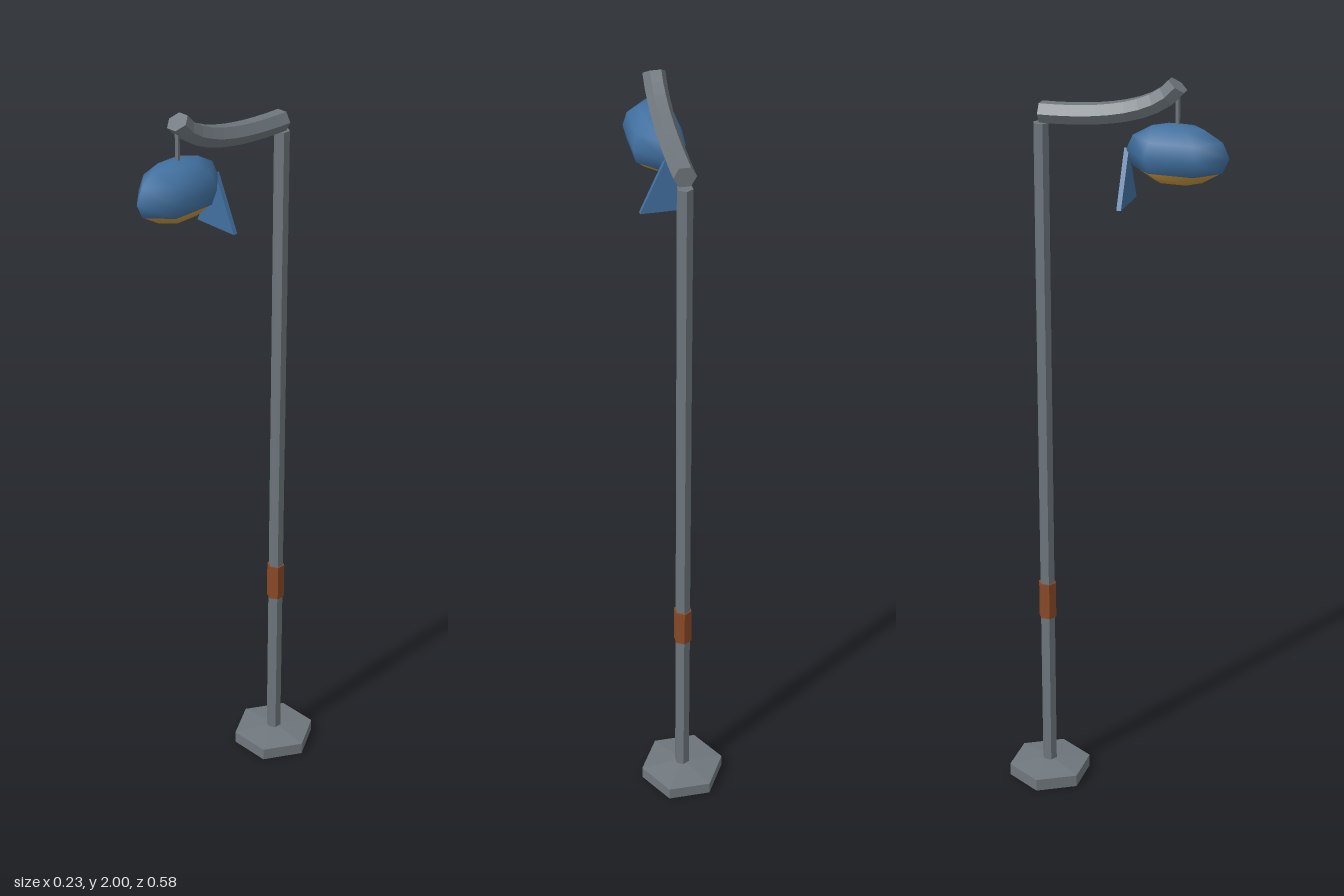
import * as THREE from 'three';

const mat = (name, color, options = {}) => {
  const m = new THREE.MeshStandardMaterial({ color, ...options });
  m.name = name;
  return m;
};

export function createModel() {
  const lamp = new THREE.Group();
  lamp.name = 'fishStreetLamp';

  const metal = mat('greyMetal', 0x6f777d, { flatShading: true });
  const rust = mat('rustBrown', 0x8a4a28, { flatShading: true });
  const blue = mat('fishBlue', 0x41709f, { side: THREE.DoubleSide });
  const glow = mat('lampYellow', 0xc8983f, { side: THREE.DoubleSide });

  const add = (name, geometry, material, x = 0, y = 0, z = 0) => {
    const mesh = new THREE.Mesh(geometry, material);
    mesh.name = name;
    mesh.position.set(x, y, z);
    lamp.add(mesh);
    return mesh;
  };

  // Six-sided upright part between two heights
  const poleZ = -0.193;
  const hex = (name, rTop, rBottom, y0, y1, material, z = poleZ) =>
    add(name, new THREE.CylinderGeometry(rTop, rBottom, y1 - y0, 6), material, 0, (y0 + y1) / 2, z);

  // Base with a shallow sloped top
  hex('base', 0.113, 0.113, 0, 0.034, metal).rotation.y = Math.PI / 6;
  hex('baseTop', 0.02, 0.113, 0.034, 0.045, metal).rotation.y = Math.PI / 6;

  // Pole and its painted band
  hex('pole', 0.02, 0.02, 0.03, 1.866, metal);
  hex('poleBand', 0.024, 0.024, 0.492, 0.595, rust);

  // Curved arm, closed at both ends
  const armRadius = 0.028;
  const curve = new THREE.QuadraticBezierCurve3(
    new THREE.Vector3(0, 1.893, poleZ),
    new THREE.Vector3(0, 1.893, 0.09),
    new THREE.Vector3(0, 1.987, 0.156)
  );
  add('arm', new THREE.TubeGeometry(curve, 10, armRadius, 6), metal);
  for (const t of [0, 1]) {
    const p = curve.getPoint(t);
    const d = curve.getTangent(t);
    const cap = add(t ? 'armTip' : 'armEnd', new THREE.CircleGeometry(armRadius, 6), metal, p.x, p.y, p.z);
    cap.rotation.x = t ? -Math.atan2(d.y, d.z) : Math.PI;
  }

  // Rod holding the fish
  const fishY = 1.817, fishZ = 0.157;
  hex('hanger', 0.006, 0.006, 1.88, 1.97, metal, fishZ);

  // Fish body: blue shell above, glowing belly below
  const shell = (start, length, rows, scale) =>
    new THREE.SphereGeometry(1, 6, rows, 0, Math.PI * 2, start, length)
      .rotateY(Math.PI / 2)
      .scale(0.075 * scale, 0.077, 0.131 * scale);
  const split = Math.PI * 2 / 3;
  add('fishBody', shell(0, split, 4, 1), blue, 0, fishY, fishZ);
  add('fishBelly', shell(split, Math.PI - split, 2, 0.97), glow, 0, fishY, fishZ);

  // Triangular tail hanging behind the body
  const tail = new THREE.Shape([
    new THREE.Vector2(-0.063, 1.68),
    new THREE.Vector2(0.063, 1.68),
    new THREE.Vector2(0, 1.822)
  ]);
  add('fishTail', new THREE.ExtrudeGeometry(tail, { depth: 0.012, bevelEnabled: false }), blue, 0, 0, 0.022);

  return lamp;
}
